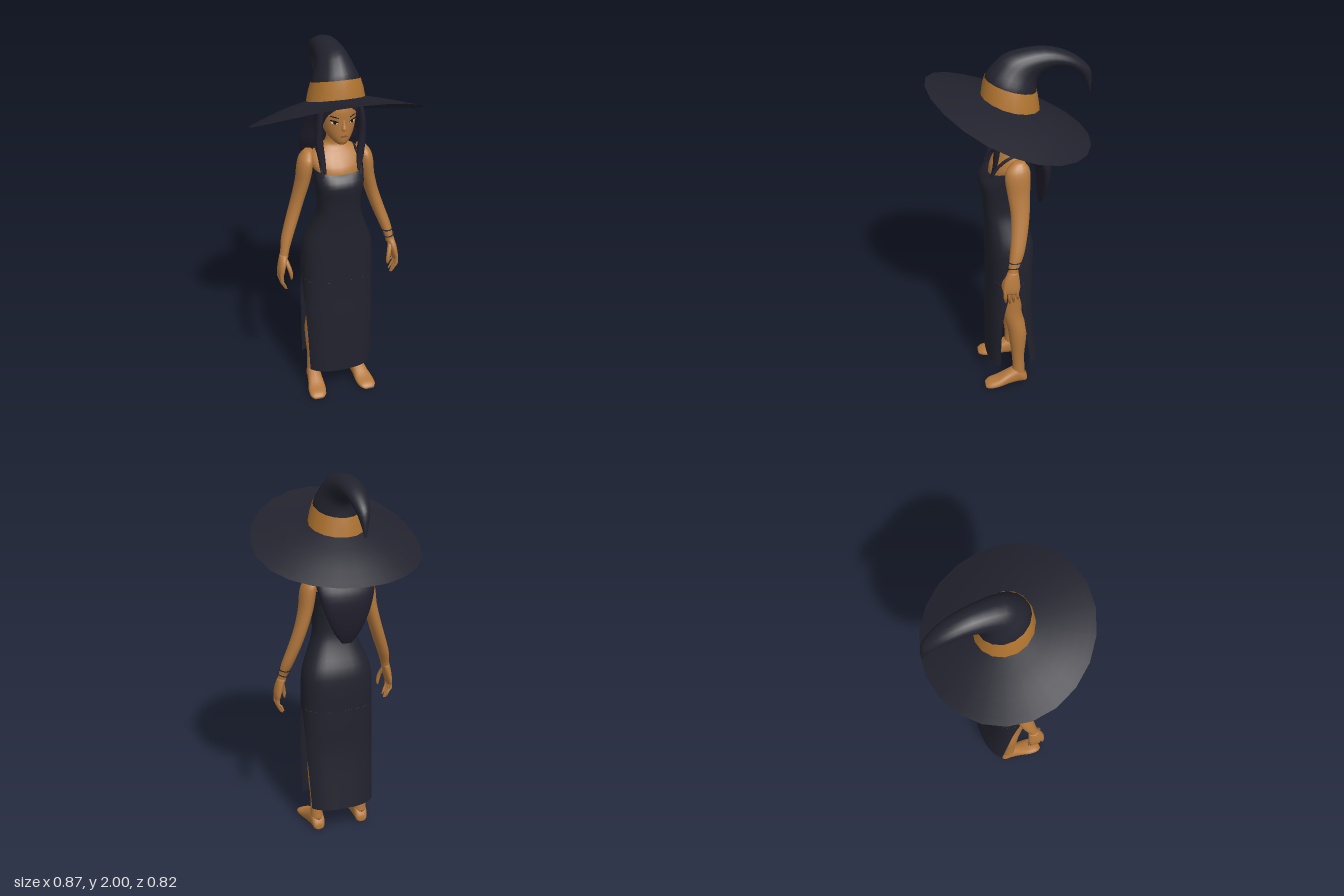
import * as THREE from 'three';

const mat = (name, color, double) => {
  const m = new THREE.MeshStandardMaterial({ color });
  m.name = name;
  if (double) m.side = THREE.DoubleSide;
  return m;
};

// Section row: front point (z, y), back point (z, y), half width, centre x, opening angle, side lift
const tilt = (zf, yf, zb, yb, w, cx = 0, e = 0, lift = 0) => [zf, yf, zb, yb, w, cx, e, lift];
const level = (y, zf, zb, w, cx = 0, e = 0, lift = 0) => [zf, y, zb, y, w, cx, e, lift];

// Catmull-Rom subdivision of the section rows
function refine(rows, k) {
  const out = [];
  for (let i = 0; i < rows.length - 1; i++) {
    const [a, b, c, d] = [-1, 0, 1, 2].map(o => rows[Math.min(rows.length - 1, Math.max(0, i + o))]);
    for (let s = 0; s < k; s++) {
      const t = s / k;
      out.push(b.map((q, j) => q + 0.5 * t * (c[j] - a[j] + t * (2 * a[j] - 5 * q + 4 * c[j] - d[j] + t * (3 * (q - c[j]) + d[j] - a[j])))));
    }
  }
  out.push(rows[rows.length - 1]);
  return out;
}

// Skin through oval sections; range(e) gives the arc for open shells
function loft(rows, { n = 20, k = 3, p = 1, range = null, caps = !range } = {}) {
  const R = refine(rows, k), pos = [], idx = [], cols = range ? n + 1 : n;
  const pw = v => Math.sign(v) * Math.abs(v) ** p;
  for (const [zf, yf, zb, yb, w, cx, e, lift] of R) {
    const [t0, t1] = range ? range(e * Math.PI / 180) : [0, 2 * Math.PI];
    for (let j = 0; j < cols; j++) {
      const t = t0 + (t1 - t0) * j / n, c = pw(Math.cos(t)), s = pw(Math.sin(t));
      pos.push(cx + w * s, (yf + yb) / 2 + c * (yf - yb) / 2 + lift * s * s, (zf + zb) / 2 + c * (zf - zb) / 2);
    }
  }
  for (let i = 0; i < R.length - 1; i++) for (let j = 0; j < n; j++) {
    const a = i * cols + j, b = i * cols + (j + 1) % cols;
    idx.push(a, b, b + cols, a, b + cols, a + cols);
  }
  if (caps) [0, R.length - 1].forEach((i, end) => {
    const [zf, yf, zb, yb, , cx] = R[i], c = pos.length / 3;
    pos.push(cx, (yf + yb) / 2, (zf + zb) / 2);
    for (let j = 0; j < n; j++) {
      const a = i * n + j, b = i * n + (j + 1) % n;
      end ? idx.push(c, a, b) : idx.push(c, b, a);
    }
  });
  const g = new THREE.BufferGeometry();
  g.setAttribute('position', new THREE.Float32BufferAttribute(pos, 3));
  g.setIndex(idx);
  g.computeVertexNormals();
  return g;
}

export function createModel() {
  const skin = mat('skin', 0xb5793d), cloth = mat('dark cloth', 0x22222e, true);
  const hair = mat('hair', 0x211f2d, true), gold = mat('hat band', 0xb0742f, true);
  const white = mat('eye white', 0xd8cfc4), ink = mat('eye dark', 0x14121a, true), lip = mat('lips', 0x8a5230);
  const model = new THREE.Group();
  const add = (name, geo, m, parent = model) => {
    const mesh = new THREE.Mesh(geo, m);
    mesh.name = name;
    parent.add(mesh);
    return mesh;
  };

  // Hat: tilted drooping brim, band and curled crown
  const inner = tilt(0.13, 1.772, -0.14, 1.69, 0.135), outer = tilt(0.41, 1.84, -0.41, 1.51, 0.44, 0, 0, -0.045);
  const middle = tilt(0.27, 1.802, -0.27, 1.612, 0.285, 0, 0, -0.015);
  const under = r => r.map((v, j) => (j === 1 || j === 3 ? v - 0.012 : v));
  add('brimUnderside', loft([under(inner), under(middle), outer], { caps: false, n: 22 }), cloth);
  add('brimTop', loft([outer, middle, inner], { caps: false, n: 22 }), cloth);
  add('hatBand', loft([tilt(0.143, 1.768, -0.152, 1.69, 0.148), tilt(0.135, 1.82, -0.145, 1.74, 0.138),
    tilt(0.122, 1.865, -0.137, 1.785, 0.124)], { caps: false, k: 1, n: 16 }), gold);
  add('crown', loft([
    tilt(0.125, 1.80, -0.138, 1.72, 0.125), tilt(0.118, 1.865, -0.134, 1.785, 0.12), tilt(0.07, 1.93, -0.138, 1.84, 0.095),
    tilt(0.0, 1.98, -0.165, 1.875, 0.078), tilt(-0.16, 2.0, -0.21, 1.893, 0.064), tilt(-0.29, 1.965, -0.28, 1.893, 0.052),
    tilt(-0.375, 1.905, -0.335, 1.86, 0.038), tilt(-0.408, 1.85, -0.37, 1.82, 0.025), tilt(-0.41, 1.75, -0.405, 1.75, 0.004)
  ]), cloth);

  // Head
  add('head', loft([
    level(1.53, 0.115, 0.07, 0.022), level(1.55, 0.126, 0.0, 0.048), level(1.59, 0.13, -0.05, 0.074),
    level(1.65, 0.13, -0.08, 0.09), level(1.72, 0.13, -0.09, 0.095), level(1.80, 0.10, -0.08, 0.08)
  ], { n: 24 }), skin);
  add('nose', loft([level(1.608, 0.136, 0.12, 0.009), level(1.618, 0.148, 0.11, 0.014), level(1.645, 0.138, 0.11, 0.009),
    level(1.675, 0.129, 0.11, 0.006)], { n: 10 }), skin);
  const mouth = add('mouth', new THREE.CircleGeometry(1, 16), lip);
  mouth.scale.set(0.02, 0.005, 1);
  mouth.position.set(0, 1.579, 0.133);
  for (const s of [-1, 1]) {
    const eye = new THREE.Group();
    eye.name = s > 0 ? 'leftEye' : 'rightEye';
    eye.position.set(s * 0.046, 1.653, 0.121);
    eye.rotation.y = s * 0.55;
    const disc = (name, m, w, h, x, y, z, roll = 0) => {
      const d = add(name, new THREE.CircleGeometry(1, 16), m, eye);
      d.scale.set(w, h, 1);
      d.position.set(x, y, z);
      d.rotation.z = roll;
    };
    disc('eyeWhite', white, 0.019, 0.008, 0, 0, 0);
    disc('iris', ink, 0.008, 0.008, -s * 0.002, 0, 0.001);
    disc('upperLash', ink, 0.023, 0.004, 0, 0.008, 0.002, s * 0.18);
    disc('eyebrow', ink, 0.024, 0.003, 0, 0.03, 0.003, s * 0.2);
    model.add(eye);
  }

  // Hair: cap parted over the forehead, long pointed back and two front locks
  add('hairCap', loft([
    level(1.56, 0.12, -0.12, 0.105, 0, 72), level(1.63, 0.135, -0.12, 0.107, 0, 58), level(1.69, 0.141, -0.115, 0.108, 0, 42),
    level(1.74, 0.142, -0.11, 0.107, 0, 12), level(1.78, 0.12, -0.10, 0.10, 0, 0)
  ], { n: 28, range: e => [e, 2 * Math.PI - e] }), hair);
  add('backHair', loft([
    level(1.14, -0.155, -0.165, 0.025), level(1.2, -0.15, -0.187, 0.07), level(1.3, -0.142, -0.206, 0.115),
    level(1.4, -0.118, -0.206, 0.145), level(1.48, -0.075, -0.175, 0.158), level(1.58, -0.035, -0.14, 0.145),
    level(1.68, 0.03, -0.11, 0.125), level(1.75, 0.05, -0.1, 0.11)
  ]), hair);

  // Neck, shoulders and chest
  add('torso', loft([
    level(1.25, 0.11, -0.04, 0.105), level(1.36, 0.105, -0.065, 0.122), level(1.41, 0.08, -0.08, 0.14),
    level(1.455, 0.045, -0.078, 0.125), level(1.485, 0.02, -0.065, 0.075), level(1.52, 0.02, -0.055, 0.047),
    level(1.62, 0.04, -0.045, 0.045)
  ]), skin);

  // Dress: fitted body above, front and back skirt panels split at both sides
  const P = 0.78, hip = level(0.74, 0.13, -0.12, 0.196, 0, 90);
  add('dressBody', loft([
    hip, level(0.85, 0.13, -0.122, 0.194), level(0.95, 0.13, -0.115, 0.184), level(1.05, 0.132, -0.075, 0.145),
    level(1.13, 0.138, -0.05, 0.117), level(1.21, 0.146, -0.048, 0.115), level(1.3, 0.16, -0.058, 0.125),
    level(1.345, 0.14, -0.072, 0.13), tilt(0.12, 1.365, -0.08, 1.38, 0.132, 0, 0, 0.015)
  ], { caps: false, n: 28, p: P }), cloth);
  const skirt = [
    level(0.16, 0.14, -0.155, 0.198, 0, 59), level(0.35, 0.137, -0.132, 0.2, 0, 63), level(0.5, 0.135, -0.12, 0.2, 0, 69),
    level(0.62, 0.132, -0.12, 0.198, 0, 78), hip
  ];
  add('skirtFront', loft(skirt, { p: P, range: e => [-e, e] }), cloth);
  add('skirtBack', loft(skirt, { p: P, range: e => [Math.PI - e, Math.PI + e] }), cloth);

  // Paired parts, modelled on the left and mirrored
  for (const s of [1, -1]) {
    const side = new THREE.Group();
    side.name = s > 0 ? 'leftSide' : 'rightSide';
    side.scale.x = s;
    model.add(side);
    add('frontLock', loft([
      level(1.375, 0.108, 0.1, 0.006, 0.088), level(1.44, 0.1, 0.075, 0.018, 0.1), level(1.55, 0.098, 0.06, 0.02, 0.112),
      level(1.65, 0.105, 0.05, 0.018, 0.11), level(1.74, 0.1, 0.06, 0.014, 0.095)
    ], { n: 10 }), hair, side);
    const strap = new THREE.CatmullRomCurve3([[0.1, 1.355, 0.11], [0.104, 1.41, 0.082], [0.1, 1.458, 0.02],
      [0.098, 1.465, -0.035], [0.096, 1.43, -0.078], [0.09, 1.36, -0.08]].map(q => new THREE.Vector3(...q)));
    add('strap', new THREE.TubeGeometry(strap, 20, 0.008, 6), cloth, side);

    add('arm', loft([
      level(0.89, 0.06, 0.008, 0.024, 0.3), level(0.93, 0.055, 0.0, 0.024, 0.291), level(1.0, 0.045, -0.03, 0.031, 0.271),
      level(1.1, 0.032, -0.055, 0.034, 0.235), level(1.2, 0.028, -0.07, 0.035, 0.202), level(1.3, 0.04, -0.076, 0.038, 0.175),
      level(1.38, 0.05, -0.08, 0.041, 0.163), level(1.43, 0.04, -0.075, 0.036, 0.153), level(1.465, 0.0, -0.05, 0.02, 0.14)
    ], { n: 14 }), skin, side);
    add('palm', loft([
      level(0.79, 0.085, 0.005, 0.012, 0.323), level(0.82, 0.09, -0.002, 0.018, 0.319), level(0.87, 0.08, 0.0, 0.022, 0.308),
      level(0.91, 0.058, 0.005, 0.023, 0.297)
    ], { n: 12 }), skin, side);
    for (let i = 0; i < 4; i++) {
      const z = 0.015 + 0.021 * i, y = 0.705 + [0.025, 0.008, 0, 0.01][i];
      add('finger', loft([
        level(y, z - 0.003, z - 0.012, 0.005, 0.298), level(y + 0.03, z + 0.004, z - 0.012, 0.009, 0.312),
        level(0.77, z + 0.009, z - 0.009, 0.01, 0.324), level(0.82, z + 0.009, z - 0.01, 0.01, 0.321)
      ], { n: 8, k: 2 }), skin, side);
    }
    add('thumb', loft([
      level(0.775, 0.083, 0.073, 0.005, 0.271), level(0.8, 0.088, 0.068, 0.01, 0.272), level(0.84, 0.085, 0.06, 0.012, 0.28),
      level(0.89, 0.06, 0.03, 0.012, 0.295)
    ], { n: 8, k: 2 }), skin, side);

    add('leg', loft([
      level(0.06, 0.01, -0.07, 0.036, 0.128), level(0.12, 0.004, -0.066, 0.033, 0.13), level(0.2, 0.008, -0.064, 0.036, 0.128),
      level(0.32, 0.022, -0.075, 0.05, 0.124), level(0.4, 0.032, -0.075, 0.053, 0.121), level(0.5, 0.058, -0.05, 0.052, 0.116),
      level(0.62, 0.072, -0.058, 0.064, 0.108), level(0.74, 0.085, -0.07, 0.076, 0.1), level(0.85, 0.085, -0.08, 0.08, 0.092)
    ], { n: 16 }), skin, side);
    // Foot runs from toe to heel, front point on top
    add('foot', loft([
      tilt(0.165, 0.02, 0.165, 0.005, 0.028, 0.15), tilt(0.14, 0.036, 0.14, 0, 0.046, 0.147), tilt(0.09, 0.05, 0.09, 0, 0.05, 0.142),
      tilt(0.03, 0.085, 0.03, 0, 0.042, 0.135), tilt(-0.03, 0.11, -0.03, 0, 0.038, 0.129), tilt(-0.065, 0.07, -0.068, 0, 0.034, 0.127),
      tilt(-0.08, 0.04, -0.08, 0.01, 0.02, 0.127)
    ], { n: 14, p: 0.85 }), skin, side);
  }

  // Thin cord bracelets on the left wrist
  for (const [x, y, z, roll] of [[0.291, 0.93, 0.027, 0.3], [0.282, 0.962, 0.018, 0.05]]) {
    const ring = add('bracelet', new THREE.TorusGeometry(1, 0.1, 6, 20).rotateX(Math.PI / 2), cloth);
    ring.scale.set(0.029, 0.03, 0.034);
    ring.position.set(x, y, z);
    ring.rotation.z = roll;
  }
  return model;
}
